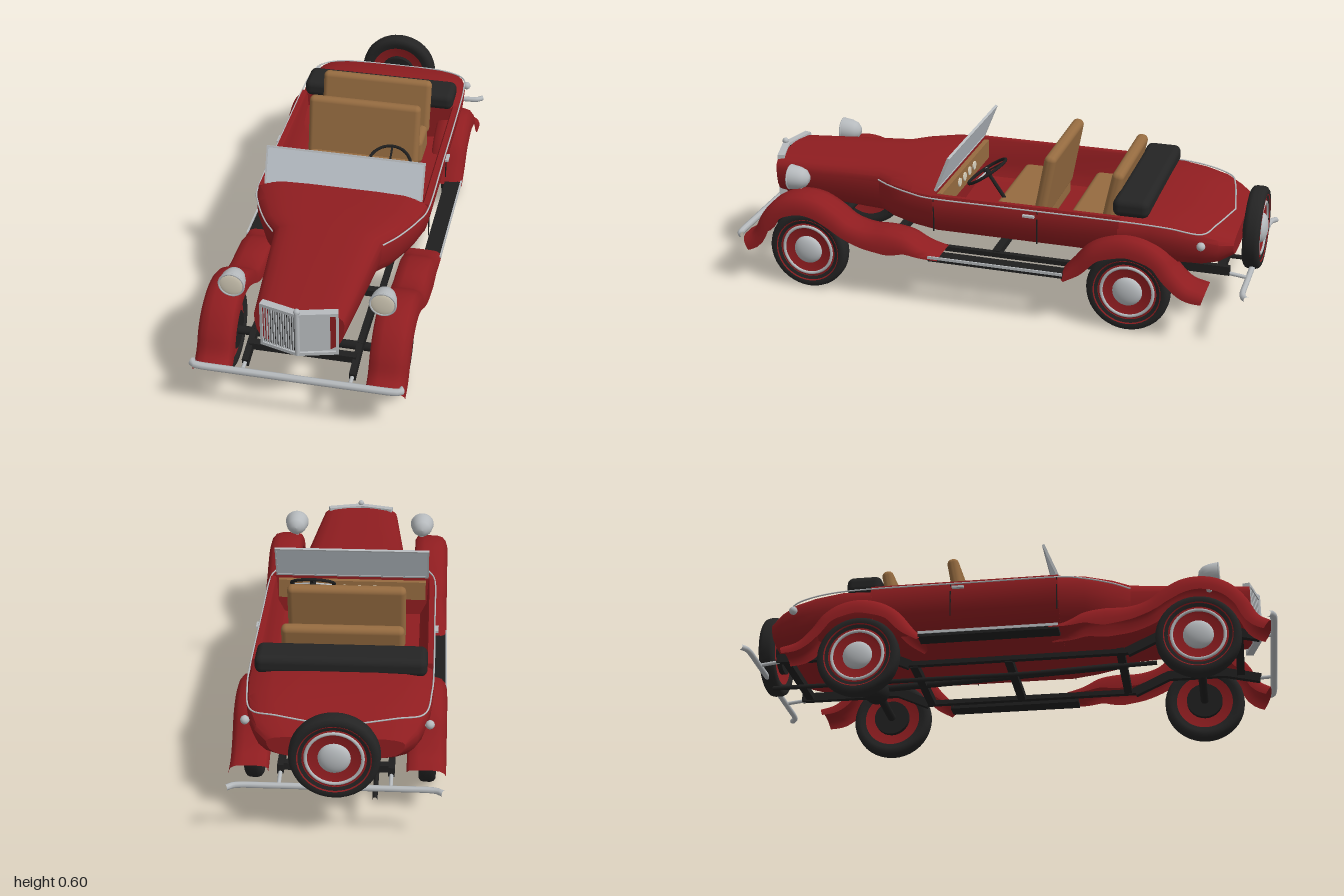
import * as THREE from 'three';
import { toCreasedNormals } from 'three/addons/utils/BufferGeometryUtils.js';
import { RoundedBoxGeometry } from 'three/addons/geometries/RoundedBoxGeometry.js';

const mat = (name, color, side = THREE.FrontSide) => {
  const m = new THREE.MeshStandardMaterial({ color, side });
  m.name = name;
  return m;
};
const paint = mat('red paint', 0x8f1d20, THREE.DoubleSide);
const black = mat('chassis black', 0x1f1f1f);
const rubber = mat('rubber and canvas', 0x242424);
const chrome = mat('chrome', 0xb6babd);
const leather = mat('tan leather', 0x956b40);
const glass = mat('windshield glass', 0xc0c7ce);
const lens = mat('lamp lens', 0xd8d0bc);

const V = (x, y, z) => new THREE.Vector3(x, y, z);

export function createModel() {
  const model = new THREE.Group();
  model.name = 'roadster';

  const add = (name, geo, m, x = 0, y = 0, z = 0, parent = model) => {
    const mesh = new THREE.Mesh(geo, m);
    mesh.name = name;
    mesh.position.set(x, y, z);
    parent.add(mesh);
    return mesh;
  };
  const box = (name, w, h, d, m, x, y, z, parent) => add(name, new THREE.BoxGeometry(w, h, d), m, x, y, z, parent);
  const pad = (name, w, h, d, r, m, x, y, z) => add(name, new RoundedBoxGeometry(w, h, d, 4, r), m, x, y, z);
  // round bar through points, straight or smoothed
  const bar = (name, pts, r, m, tension = 0.5) => {
    const curve = new THREE.CatmullRomCurve3(pts, false, 'catmullrom', tension);
    const geo = new THREE.TubeGeometry(curve, pts.length * 10, r, 8);
    return add(name, geo, m);
  };
  const rod = (name, a, b, r, m) => {
    const mesh = add(name, new THREE.CylinderGeometry(r, r, a.distanceTo(b), 14), m);
    mesh.position.copy(a).add(b).multiplyScalar(0.5);
    mesh.quaternion.setFromUnitVectors(V(0, 1, 0), b.clone().sub(a).normalize());
    return mesh;
  };
  // skin between cross-sections, optionally closed round and capped at both ends
  const loft = (rings, closed, crease) => {
    const n = rings[0].length, pos = rings.flat().flatMap(p => [p.x, p.y, p.z]), idx = [];
    const last = rings.length - 1, cols = closed ? n : n - 1;
    for (let i = 0; i < last; i++) for (let j = 0; j < cols; j++) {
      const a = i * n + j, c = i * n + (j + 1) % n;
      idx.push(a, c, a + n, c, c + n, a + n);
    }
    if (closed) [0, last].forEach((r, e) => {
      const mid = rings[r].reduce((s, p) => s.add(p), V(0, 0, 0)).divideScalar(n);
      const k = pos.push(mid.x, mid.y, mid.z) / 3 - 1;
      for (let j = 0; j < n; j++) {
        const a = r * n + j, b = r * n + (j + 1) % n;
        idx.push(k, e ? a : b, e ? b : a);
      }
    });
    const geo = new THREE.BufferGeometry();
    geo.setAttribute('position', new THREE.Float32BufferAttribute(pos, 3));
    geo.setIndex(idx);
    return toCreasedNormals(geo, crease);
  };

  // body: half section as fractions of half width and height
  const half = [[0, 1], [0.4, 1], [0.7, 0.985], [0.88, 0.93], [0.97, 0.85], [1, 0.75], [0.99, 0.55],
    [0.95, 0.35], [0.86, 0.18], [0.7, 0.07], [0.4, 0], [0, 0]];
  const section = [...half, ...half.slice(1, -1).reverse().map(([u, v]) => [-u, v])];
  const hull = stations => loft(stations.map(([z, w, top, bot]) =>
    section.map(([u, v]) => V(u * w, bot + v * (top - bot), z))), true, 0.6);
  add('hoodAndCowl', hull([[0.91, 0.158, 0.445, 0.28], [0.7, 0.178, 0.455, 0.27], [0.465, 0.2, 0.465, 0.262],
    [0.4, 0.255, 0.467, 0.255], [0.3, 0.305, 0.47, 0.25], [0.2, 0.33, 0.47, 0.245]]), paint);
  add('tail', hull([[-0.5, 0.33, 0.45, 0.245], [-0.62, 0.33, 0.455, 0.245], [-0.72, 0.322, 0.442, 0.24],
    [-0.8, 0.305, 0.425, 0.24], [-0.86, 0.28, 0.395, 0.255], [-0.91, 0.235, 0.365, 0.285]]), paint);

  // open passenger tub with door walls and floor
  const wall = [[0, 0.275], [0.27, 0.29], [0.295, 0.34], [0.3, 0.435], [0.305, 0.442], [0.322, 0.442], [0.33, 0.414],
    [0.327, 0.369], [0.3135, 0.324], [0.284, 0.2855], [0.231, 0.261], [0.132, 0.245], [0, 0.245]];
  const outline = [...wall, ...wall.slice(1, -1).reverse().map(([x, y]) => [-x, y])];
  const tub = new THREE.ExtrudeGeometry(new THREE.Shape(outline.map(p => new THREE.Vector2(...p))),
    { depth: 0.71, bevelEnabled: false });
  add('passengerTub', toCreasedNormals(tub, 0.6), paint, 0, 0, -0.505);

  // fenders: a curved section swept over each wheel; path entries are [z, y, skirt depth]
  const skin = [[0.24, 0.8], [0.241, 0.3], [0.25, 0.08], [0.28, 0], [0.33, 0], [0.355, 0.1], [0.37, 0.35], [0.377, 0.7], [0.378, 1]];
  const fender = (name, path, s) => {
    const curve = new THREE.CatmullRomCurve3(path.map(([z, y, d]) => V(d, y, z)));
    const rings = [];
    for (let i = 0; i <= 48; i++) {
      const p = curve.getPoint(i / 48), t = curve.getTangent(i / 48);
      const l = Math.hypot(t.y, t.z), ny = t.z / l, nz = -t.y / l;
      const ring = skin.map(([x, d]) => V(s * x, p.y + ny * d * p.x, p.z + nz * d * p.x));
      rings.push(s > 0 ? ring : ring.reverse());
    }
    add(name, loft(rings, false, 1), paint);
  };
  const frontPath = [[0.975, 0.19, 0.055], [0.935, 0.215, 0.06], [0.9, 0.28, 0.06], [0.85, 0.34, 0.065],
    [0.79, 0.375, 0.07], [0.72, 0.387, 0.07], [0.65, 0.375, 0.07], [0.58, 0.335, 0.065], [0.53, 0.298, 0.06],
    [0.46, 0.28, 0.07], [0.38, 0.282, 0.085], [0.3, 0.268, 0.065], [0.24, 0.235, 0.035], [0.17, 0.21, 0.01]];
  const rearPath = [[-0.295, 0.2, 0.025], [-0.34, 0.255, 0.05], [-0.4, 0.328, 0.06], [-0.47, 0.367, 0.07],
    [-0.545, 0.38, 0.07], [-0.62, 0.365, 0.07], [-0.68, 0.325, 0.06], [-0.725, 0.265, 0.055],
    [-0.775, 0.218, 0.05], [-0.835, 0.2, 0.04]];

  // wheel lying along x, outer face towards +x
  const tyreProfile = [[0.11, -0.024], [0.128, -0.03], [0.142, -0.031], [0.152, -0.024], [0.156, -0.012],
    [0.156, 0.012], [0.152, 0.024], [0.142, 0.031], [0.128, 0.03], [0.11, 0.024]].map(p => new THREE.Vector2(...p));
  const discProfile = [[0, 0.018], [0.08, 0.018], [0.094, 0.023], [0.11, 0.02], [0.127, 0.031], [0.127, 0.027],
    [0.127, -0.029], [0.105, -0.022], [0, -0.01]].reverse().map(p => new THREE.Vector2(...p));
  const wheel = (name, x, y, z, turn) => {
    const g = new THREE.Group();
    g.name = name;
    g.position.set(x, y, z);
    g.rotation.y = turn;
    const axle = new THREE.Group();
    axle.rotation.z = -Math.PI / 2;
    g.add(axle);
    add('tyre', new THREE.LatheGeometry(tyreProfile, 40), rubber, 0, 0, 0, axle);
    add('wheelDisc', toCreasedNormals(new THREE.LatheGeometry(discProfile, 40), 0.5), paint, 0, 0, 0, axle);
    const ring = add('trimRing', new THREE.TorusGeometry(0.097, 0.006, 8, 40), chrome, 0, 0.023, 0, axle);
    ring.rotation.x = Math.PI / 2;
    const hub = add('hubCap', new THREE.SphereGeometry(0.056, 28, 8, 0, Math.PI * 2, 0, Math.PI / 2), chrome, 0, 0.018, 0, axle);
    hub.scale.y = 0.45;
    add('brakeDrum', new THREE.CylinderGeometry(0.07, 0.07, 0.03, 28), black, 0, -0.022, 0, axle);
    model.add(g);
  };
  wheel('spareWheel', 0, 0.325, -0.957, Math.PI / 2);
  rod('spareMount', V(0, 0.325, -0.9), V(0, 0.325, -0.935), 0.03, black);

  const lampProfile = [[0, -0.075], [0.018, -0.072], [0.034, -0.058], [0.043, -0.035], [0.047, -0.008], [0.047, 0]]
    .map(p => new THREE.Vector2(...p));
  const railPath = [[0.93, 0.2], [0.8, 0.23], [0.58, 0.23], [0.45, 0.17], [-0.38, 0.17], [-0.5, 0.225], [-0.89, 0.225]];

  // everything that is mirrored left and right
  for (const s of [1, -1]) {
    fender('frontFender', frontPath, s);
    fender('rearFender', rearPath, s);
    for (const z of [0.713, -0.545]) wheel(z > 0 ? 'frontWheel' : 'rearWheel', s * 0.312, 0.156, z, s > 0 ? 0 : Math.PI);

    const lamp = add('headlampShell', new THREE.LatheGeometry(lampProfile, 28), chrome, s * 0.268, 0.424, 0.797);
    lamp.rotation.x = Math.PI / 2;
    const face = add('headlampLens', new THREE.SphereGeometry(0.044, 28, 6, 0, Math.PI * 2, 0, Math.PI / 2), lens, s * 0.268, 0.424, 0.797);
    face.rotation.x = Math.PI / 2;
    face.scale.y = 0.15;
    add('headlampRim', new THREE.TorusGeometry(0.045, 0.004, 8, 32), chrome, s * 0.268, 0.424, 0.798);
    rod('headlampStalk', V(s * 0.268, 0.36, 0.76), V(s * 0.268, 0.4, 0.765), 0.01, chrome);

    box('runningBoard', 0.065, 0.014, 0.52, black, s * 0.343, 0.202, -0.05);
    box('runningBoardTrim', 0.006, 0.01, 0.52, chrome, s * 0.376, 0.211, -0.05);
    bar('beltTrim', [V(0.203, 0.425, 0.465), V(0.252, 0.428, 0.4), V(0.302, 0.43, 0.3), V(0.327, 0.43, 0.2),
      V(0.328, 0.43, -0.1), V(0.328, 0.43, -0.5), V(0.322, 0.423, -0.68), V(0.298, 0.403, -0.8),
      V(0.2, 0.405, -0.84), V(0, 0.388, -0.875)].map(p => V(s * p.x, p.y, p.z)), 0.003, chrome);
    for (const z of [0.2, -0.2]) box('doorGap', 0.004, 0.13, 0.004, black, s * 0.327, 0.365, z);
    box('doorHandle', 0.014, 0.008, 0.045, chrome, s * 0.336, 0.41, -0.17);
    add('tailLamp', new THREE.SphereGeometry(0.016, 14, 10), chrome, s * 0.318, 0.365, -0.805);
    rod('tailLampArm', V(s * 0.28, 0.36, -0.8), V(s * 0.318, 0.365, -0.805), 0.005, chrome);

    // frame rails with kick-ups at both axles
    for (let i = 0; i + 1 < railPath.length; i++) {
      const [z0, y0] = railPath[i], [z1, y1] = railPath[i + 1];
      const rail = box('frameRail', 0.022, i === 3 ? 0.018 : 0.034, Math.hypot(z1 - z0, y1 - y0) + 0.01, black,
        s * 0.19, (y0 + y1) / 2, (z0 + z1) / 2);
      rail.rotation.x = Math.atan2(y1 - y0, z0 - z1);
    }
    rod('frontBumperBracket', V(s * 0.19, 0.2, 0.92), V(s * 0.19, 0.203, 0.985), 0.007, chrome);
    rod('rearBumperBracket', V(s * 0.19, 0.215, -0.88), V(s * 0.19, 0.205, -0.965), 0.007, chrome);
  }

  // bumpers
  bar('frontBumper', [V(-0.372, 0.203, 0.965), V(-0.35, 0.203, 0.984), V(-0.2, 0.203, 0.986), V(0.2, 0.203, 0.986),
    V(0.35, 0.203, 0.984), V(0.372, 0.203, 0.965)], 0.013, chrome);
  bar('rearBumper', [V(-0.367, 0.203, -0.985), V(-0.33, 0.203, -0.965), V(-0.2, 0.203, -0.963), V(0.2, 0.203, -0.963),
    V(0.33, 0.203, -0.965), V(0.367, 0.203, -0.985)], 0.011, chrome);

  // running gear
  rod('frontAxle', V(-0.29, 0.156, 0.713), V(0.29, 0.156, 0.713), 0.016, black);
  rod('rearAxle', V(-0.29, 0.156, -0.545), V(0.29, 0.156, -0.545), 0.016, black);
  add('differential', new THREE.SphereGeometry(0.052, 20, 14), black, 0, 0.154, -0.545);
  rod('driveShaft', V(0, 0.16, -0.545), V(0, 0.2, 0.4), 0.013, black);
  for (const [z, y] of [[0.86, 0.225], [0.42, 0.175], [0, 0.17], [-0.36, 0.17], [-0.86, 0.225]])
    box('crossMember', 0.38, 0.026, 0.03, black, 0, y, z);
  bar('exhaustPipe', [V(-0.11, 0.155, 0.55), V(-0.135, 0.13, 0.08), V(-0.135, 0.13, -0.3), V(-0.135, 0.13, -0.92)], 0.009, black);

  // V-shaped radiator: slats on the right half, plain plate on the left half
  for (const s of [1, -1]) {
    const g = new THREE.Group();
    g.name = 'radiatorHalf';
    g.position.set(0, 0.362, 0.942);
    g.rotation.y = s * 0.26;
    model.add(g);
    box('radiatorCore', 0.14, 0.172, 0.014, s > 0 ? chrome : black, s * 0.071, 0, -0.01, g);
    for (const y of [0.083, -0.083]) box('radiatorFrame', 0.142, 0.012, 0.028, chrome, s * 0.071, y, -0.008, g);
    box('radiatorFrame', 0.01, 0.178, 0.028, chrome, s * 0.137, 0, -0.008, g);
    if (s < 0) for (let i = 0; i < 13; i++) box('radiatorSlat', 0.004, 0.154, 0.006, chrome, -0.016 - i * 0.0092, 0, -0.001, g);
  }
  rod('radiatorSpine', V(0, 0.275, 0.941), V(0, 0.455, 0.941), 0.009, chrome);
  add('radiatorCap', new THREE.SphereGeometry(0.012, 14, 10), chrome, 0, 0.457, 0.938);

  // windshield
  const shield = new THREE.Group();
  shield.name = 'windshield';
  shield.position.set(0, 0.45, 0.202);
  shield.rotation.x = -0.38;
  model.add(shield);
  box('windshieldGlass', 0.59, 0.14, 0.005, glass, 0, 0.072, 0, shield);
  for (const y of [0.003, 0.143]) box('windshieldFrame', 0.6, 0.006, 0.01, chrome, 0, y, 0, shield);
  for (const x of [-0.298, 0.298]) box('windshieldFrame', 0.006, 0.146, 0.01, chrome, x, 0.073, 0, shield);

  // dashboard and gauges
  box('dashboard', 0.58, 0.075, 0.02, leather, 0, 0.4, 0.187);
  for (const x of [-0.09, -0.03, 0.03, 0.09]) {
    const gauge = add('gauge', new THREE.CylinderGeometry(0.017, 0.017, 0.006, 20), lens, x, 0.405, 0.175);
    gauge.rotation.x = Math.PI / 2;
  }

  // steering wheel
  const steering = new THREE.Group();
  steering.name = 'steeringWheel';
  steering.position.set(0.145, 0.487, 0.047);
  steering.rotation.x = 0.6;
  model.add(steering);
  const rim = add('steeringRim', new THREE.TorusGeometry(0.083, 0.006, 8, 36), black, 0, 0, 0, steering);
  rim.rotation.x = Math.PI / 2;
  for (const a of [0.4, 2.74, Math.PI * 1.5]) {
    const spoke = box('steeringSpoke', 0.08, 0.005, 0.007, a > 4 ? black : chrome, 0.04 * Math.cos(a), 0, 0.04 * Math.sin(a), steering);
    spoke.rotation.y = -a;
  }
  add('steeringHub', new THREE.CylinderGeometry(0.012, 0.012, 0.02, 16), black, 0, 0, 0, steering);
  add('steeringColumn', new THREE.CylinderGeometry(0.007, 0.007, 0.2, 12), black, 0, -0.09, 0, steering);

  // seats and folded top
  pad('frontSeatCushion', 0.43, 0.11, 0.19, 0.022, leather, 0, 0.335, -0.095);
  pad('frontSeatBack', 0.44, 0.27, 0.045, 0.02, leather, 0, 0.468, -0.194).rotation.x = -0.18;
  pad('rearSeatCushion', 0.43, 0.11, 0.15, 0.022, leather, 0, 0.335, -0.365);
  pad('rearSeatBack', 0.44, 0.22, 0.045, 0.02, leather, 0, 0.458, -0.452).rotation.x = -0.2;
  pad('foldedTop', 0.61, 0.07, 0.135, 0.026, rubber, 0, 0.468, -0.54);

  return model;
}
